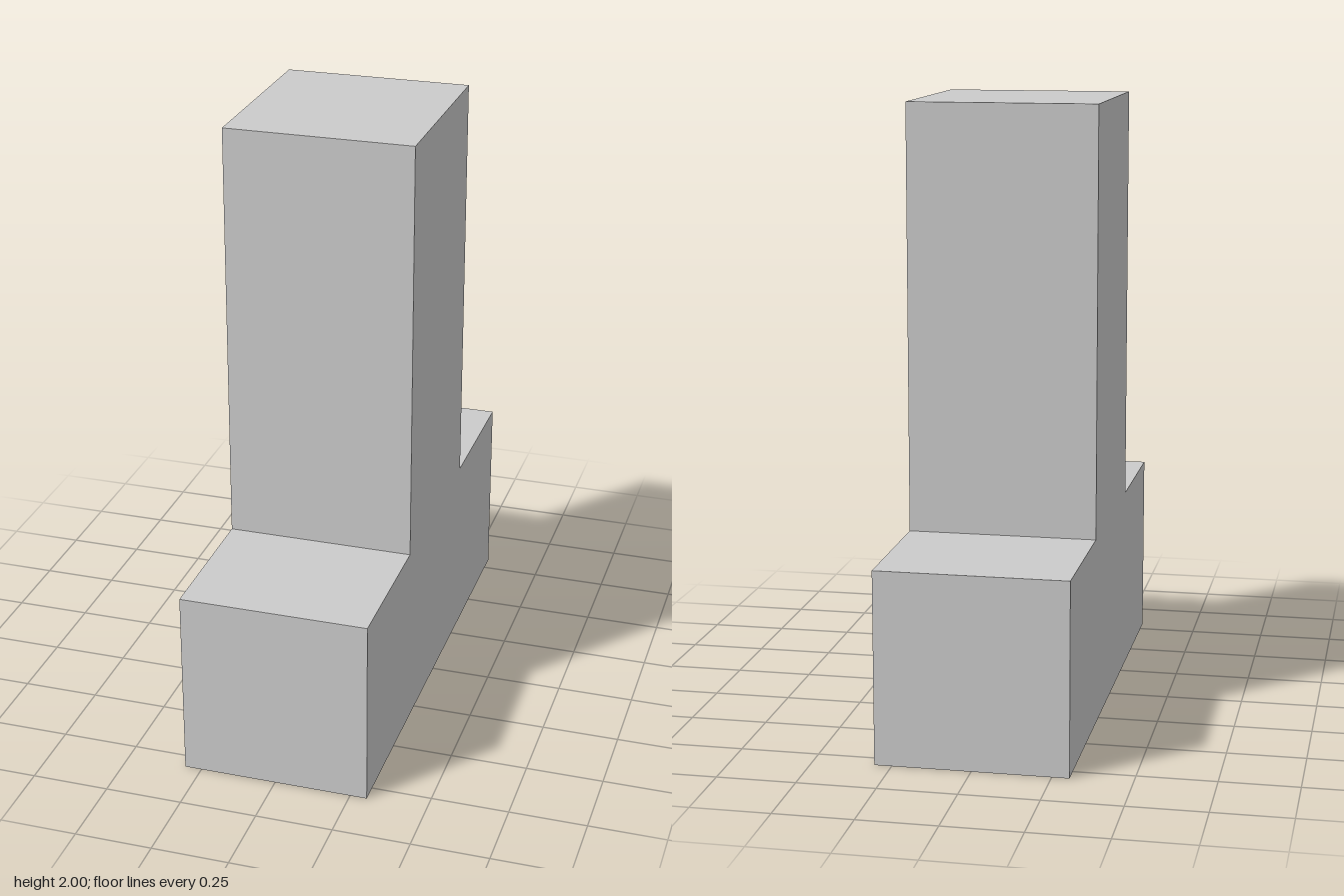
import * as THREE from 'three';

const WIDTH = 0.61;
const BASE_HALF = 0.81, BASE_TOP = 0.62;
const COLUMN_HALF = 0.325, HEIGHT = 2;

export function createModel() {
  const group = new THREE.Group();
  group.name = 'invertedTBlock';

  // Inverted T side profile: wide base with a centred column
  const half = [[BASE_HALF, 0], [BASE_HALF, BASE_TOP], [COLUMN_HALF, BASE_TOP], [COLUMN_HALF, HEIGHT]];
  const mirrored = half.map(([z, y]) => [-z, y]).reverse();
  const profile = new THREE.Shape([...half, ...mirrored].map(([z, y]) => new THREE.Vector2(z, y)));

  // Extruded across the width, then turned so the profile runs along z
  const geometry = new THREE.ExtrudeGeometry(profile, { depth: WIDTH, bevelEnabled: false });
  geometry.translate(0, 0, -WIDTH / 2);
  geometry.rotateY(Math.PI / 2);

  const block = new THREE.Mesh(geometry, new THREE.MeshStandardMaterial({ color: 0xcccccc, flatShading: true }));
  block.name = 'baseAndColumn';
  group.add(block);
  return group;
}
